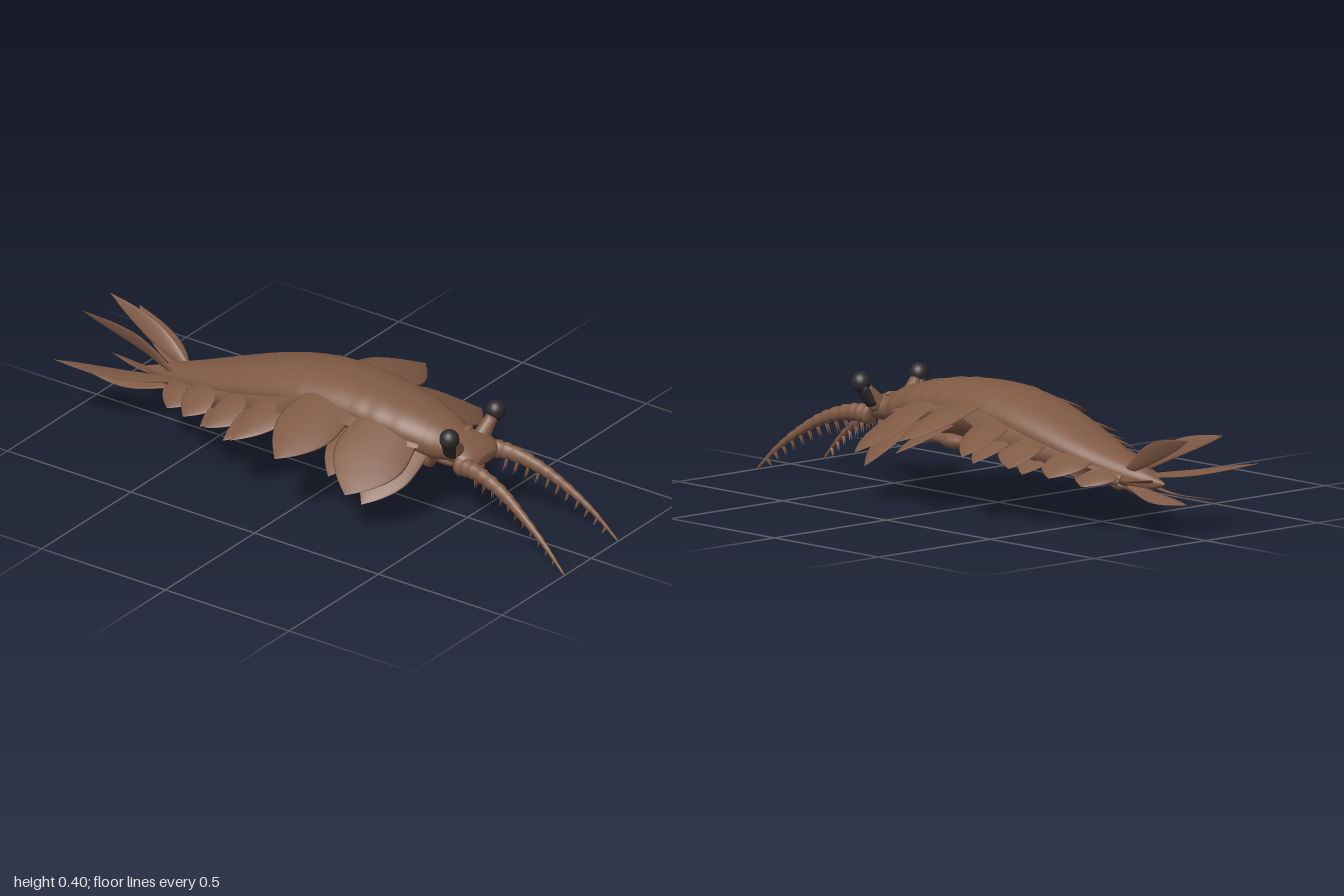
import * as THREE from 'three';

const shell = new THREE.MeshStandardMaterial({ color: 0x805a45 });
shell.name = 'brown shell';
const dark = new THREE.MeshStandardMaterial({ color: 0x2d292a });
dark.name = 'dark eye';

const V = (x, y, z) => new THREE.Vector3(x, y, z);

// Skin a list of closed rings, cap both ends and turn the faces outward
function loft(rings) {
  const n = rings[0].length, pos = [], idx = [];
  rings.forEach(r => r.forEach(p => pos.push(p.x, p.y, p.z)));
  for (let i = 0; i < rings.length - 1; i++) {
    for (let j = 0; j < n; j++) {
      const a = i * n + j, b = i * n + (j + 1) % n;
      idx.push(a, b, a + n, b, b + n, a + n);
    }
  }
  [0, rings.length - 1].forEach(k => {
    const c = V(0, 0, 0);
    rings[k].forEach(p => c.addScaledVector(p, 1 / n));
    const ci = pos.length / 3;
    pos.push(c.x, c.y, c.z);
    for (let j = 0; j < n; j++) {
      const a = k * n + j, b = k * n + (j + 1) % n;
      if (k === 0) idx.push(b, a, ci); else idx.push(a, b, ci);
    }
  });
  const at = i => V(pos[i * 3], pos[i * 3 + 1], pos[i * 3 + 2]);
  let volume = 0;
  for (let i = 0; i < idx.length; i += 3) volume += at(idx[i]).dot(at(idx[i + 1]).cross(at(idx[i + 2])));
  if (volume < 0) idx.reverse();
  const g = new THREE.BufferGeometry();
  g.setAttribute('position', new THREE.Float32BufferAttribute(pos, 3));
  g.setIndex(idx);
  g.computeVertexNormals();
  return g;
}

// Sweep an ellipse along a curve; size(t) gives [half width, half thickness], droop lowers the edges
function sweep(curve, steps, size, widthDir, droop = 0, sides = 14) {
  const rings = [];
  for (let i = 0; i <= steps; i++) {
    const t = i / steps, c = curve.getPoint(t), tan = curve.getTangent(t);
    const w = widthDir.clone().addScaledVector(tan, -widthDir.dot(tan)).normalize();
    const nrm = tan.clone().cross(w);
    const [a, b] = size(t, i);
    rings.push(Array.from({ length: sides }, (_, j) => {
      const q = j / sides * Math.PI * 2, u = Math.cos(q);
      const p = c.clone().addScaledVector(w, a * u).addScaledVector(nrm, b * Math.sin(q));
      p.y -= droop * a * u * u;
      return p;
    }));
  }
  return loft(rings);
}

// Leaf outline: broad from the root, tapering to a point
const leaf = (w, th, root = 0.85, peak = 0.45) => t => {
  const k = t < peak ? root + (1 - root) * Math.sin(t / peak * Math.PI / 2)
    : 1 - Math.pow((t - peak) / (1 - peak), 1.8);
  return [Math.max(w * k, 0.0008), Math.max(th * (1 - t * 0.8) * Math.min(1, k * 2), 0.0005)];
};

function bodyGeometry() {
  // z, half width, top
  const upper = new THREE.CatmullRomCurve3([
    V(0.583, 0.05, 0.262), V(0.56, 0.085, 0.284), V(0.52, 0.097, 0.302), V(0.46, 0.08, 0.318), V(0.41, 0.1, 0.34),
    V(0.3, 0.126, 0.372), V(0.15, 0.14, 0.396), V(0, 0.148, 0.404), V(-0.15, 0.148, 0.388), V(-0.3, 0.138, 0.349),
    V(-0.45, 0.114, 0.295), V(-0.58, 0.08, 0.247), V(-0.68, 0.05, 0.214), V(-0.74, 0.026, 0.19), V(-0.8, 0.004, 0.168),
  ], false, 'catmullrom');
  // side height, bottom
  const lower = new THREE.CatmullRomCurve3([
    [0.247, 0.232], [0.256, 0.22], [0.262, 0.212], [0.265, 0.21], [0.275, 0.205],
    [0.3, 0.205], [0.32, 0.205], [0.325, 0.205], [0.31, 0.2], [0.275, 0.187],
    [0.235, 0.17], [0.2, 0.147], [0.175, 0.13], [0.165, 0.136], [0.163, 0.158],
  ].map(([s, b]) => V(s, b, 0)), false, 'catmullrom');
  const plateEdges = [0.4, 0.29, 0.21, 0.13, -0.1];
  const rings = [];
  for (let i = 0; i <= 120; i++) {
    const u = upper.getPoint(i / 120), l = lower.getPoint(i / 120);
    const z = u.x;
    // each dorsal plate flares towards its rear edge
    let flare = 0;
    plateEdges.forEach(e => { if (z >= e) flare += 0.004 * Math.exp(-(z - e) / 0.025); });
    rings.push(Array.from({ length: 36 }, (_, j) => {
      const q = j / 36 * Math.PI * 2, c = Math.cos(q), s = Math.sin(q);
      const x = (u.y + flare) * Math.sign(c) * Math.pow(Math.abs(c), 0.9);
      const y = s >= 0 ? l.x + (u.z + flare - l.x) * Math.pow(s, 1.1) : l.x - (l.x - l.y) * Math.pow(-s, 0.9);
      return V(x, y, z);
    }));
  }
  return loft(rings);
}

export function createModel() {
  const group = new THREE.Group();
  const add = (name, geo, mat = shell) => {
    const m = new THREE.Mesh(geo, mat);
    m.name = name;
    group.add(m);
    return m;
  };
  const ball = (name, x, y, z, sx, sy, sz, mat) => {
    const m = add(name, new THREE.SphereGeometry(1, 24, 16), mat);
    m.position.set(x, y, z);
    m.scale.set(sx, sy, sz);
    return m;
  };

  add('body', bodyGeometry());
  ball('mouth', 0, 0.2, 0.52, 0.042, 0.026, 0.04);
  ball('throat', 0, 0.215, 0.44, 0.06, 0.03, 0.09);

  // root, tip, half width, thickness, edge droop, forward tilt
  const flaps = [
    [[0.07, 0.27, 0.33], [0.318, 0.122, 0.3], 0.085, 0.008, 0.1, 0.32],
    [[0.08, 0.33, 0.255], [0.382, 0.177, 0.28], 0.125, 0.009, 0.15, 0.3],
    [[0.08, 0.265, 0.13], [0.31, 0.18, 0.16], 0.065, 0.007, 0.1, 0.25],
    [[0.08, 0.36, 0.03], [0.422, 0.25, 0.025], 0.107, 0.01, 0.2, 0.18],
    [[0.08, 0.32, -0.11], [0.352, 0.22, -0.205], 0.075, 0.008, 0.15, 0],
    [[0.08, 0.285, -0.16], [0.34, 0.202, -0.245], 0.065, 0.008, 0.15, 0],
    [[0.08, 0.285, -0.25], [0.285, 0.192, -0.36], 0.08, 0.008, 0.15, -0.08],
    [[0.06, 0.245, -0.32], [0.26, 0.175, -0.395], 0.065, 0.007, 0.15, -0.08],
    [[0.05, 0.25, -0.45], [0.228, 0.17, -0.487], 0.088, 0.008, 0.15, -0.15],
    [[0.03, 0.21, -0.57], [0.175, 0.148, -0.59], 0.085, 0.007, 0.15, -0.15],
  ];

  // Web joining the flap roots: z, outer x, inner y, outer y
  const web = [
    [0.38, 0.12, 0.3, 0.27], [0.26, 0.17, 0.335, 0.285], [0.12, 0.18, 0.355, 0.31], [-0.02, 0.2, 0.365, 0.32],
    [-0.14, 0.21, 0.35, 0.28], [-0.28, 0.205, 0.31, 0.235], [-0.43, 0.18, 0.26, 0.195],
    [-0.56, 0.14, 0.215, 0.165], [-0.66, 0.08, 0.185, 0.15],
  ];

  // middle point and tip of each tail fin, half width, thickness, width direction
  const tailFins = [
    ['upperTailFin', [0.035, 0.195, -0.66], [0.045, 0.275, -0.8], [0.078, 0.342, -1], 0.032, 0.007, V(0.35, 1, 0)],
    ['outerTailFin', [0.03, 0.17, -0.66], [0.135, 0.188, -0.81], [0.24, 0.23, -1], 0.046, 0.006, V(1, 0.1, 0.6)],
    ['lowerTailFin', [0.03, 0.15, -0.66], [0.05, 0.123, -0.82], [0.075, 0.126, -0.99], 0.032, 0.006, V(1, -0.3, 0)],
  ];

  for (const s of [1, -1]) {
    const P = ([x, y, z]) => V(x * s, y, z);

    flaps.forEach(([a, b, w, th, droop, tilt], i) => {
      const mid = a.map((v, k) => (v + b[k]) / 2);
      mid[1] += 0.008;
      const curve = new THREE.CatmullRomCurve3([P(a), P(mid), P(b)]);
      add('swimFlap' + (i + 1), sweep(curve, 20, leaf(w, th), V(0, -tilt, 1), droop, 20));
    });

    add('flapWeb', loft(web.map(([z, x, yi, yo]) => [
      P([0.06, yi, z]), P([(0.06 + x) / 2, (yi + yo) / 2 + 0.008, z]), P([x, yo, z]),
      P([(0.06 + x) / 2, (yi + yo) / 2 - 0.004, z]),
    ])));

    tailFins.forEach(([name, a, m, b, w, th, dir]) => {
      const curve = new THREE.CatmullRomCurve3([P(a), P(m), P(b)]);
      add(name, sweep(curve, 18, leaf(w, th, 0.35, 0.5), V(dir.x * s, dir.y, dir.z)));
    });

    // Eye on a short tapering stalk with a dark outer sleeve
    ball('eye', 0.13 * s, 0.35, 0.52, 0.033, 0.035, 0.033, dark);
    const stalk = new THREE.LineCurve3(P([0.065, 0.268, 0.505]), P([0.113, 0.333, 0.518]));
    add('eyeStalk', sweep(stalk, 6, t => [0.03 - 0.01 * t, 0.034 - 0.016 * t], V(0, 0, 1)));
    const sleeve = new THREE.LineCurve3(P([0.1, 0.272, 0.5]), P([0.132, 0.338, 0.516]));
    add('eyeSleeve', sweep(sleeve, 6, t => [0.024 + 0.003 * t, 0.011 + 0.009 * t], V(0, 0, 1)), dark);
    ball('browRidge', 0.04 * s, 0.308, 0.475, 0.02, 0.008, 0.012);

    // Segmented grasping arm, each segment flaring at its far end
    const arm = new THREE.CatmullRomCurve3([
      [0.08, 0.235, 0.52], [0.092, 0.237, 0.6], [0.108, 0.208, 0.71], [0.126, 0.155, 0.81],
      [0.14, 0.085, 0.91], [0.15, 0.004, 0.998],
    ].map(P));
    const radius = t => 0.031 * (1 - t) + 0.0035;
    add('graspingArm', sweep(arm, 42, (t, i) => {
      const r = radius(t) * [0.88, 1, 1.06][i % 3];
      return [r * 0.85, r];
    }, V(1, 0, 0)));
    for (let i = 0; i < 11; i++) {
      const t = 0.2 + i * 0.07, c = arm.getPoint(t), r = radius(t);
      const len = 0.055 * (1 - t * 0.6);
      for (const inward of [0.4, 0.1]) {
        const tip = c.clone().add(V(-s * inward * len, -r - len * 0.85, -0.012));
        const root = c.clone().add(V(-s * inward * r * 0.5, -r * 0.5, 0));
        add('armSpine', sweep(new THREE.LineCurve3(root, tip), 2,
          k => [0.0065 * (1 - k) + 0.0004, 0.0055 * (1 - k) + 0.0004], V(0, 0, 1), 0, 6));
      }
    }

    // Wavy ridge along the underside
    const ridge = new THREE.CatmullRomCurve3([
      [0.06, 0.215, 0.4], [0.075, 0.2, 0.2], [0.075, 0.198, 0], [0.07, 0.192, -0.2],
      [0.055, 0.172, -0.4], [0.035, 0.148, -0.58], [0.02, 0.137, -0.68],
    ].map(P));
    add('bellyRidge', sweep(ridge, 64, t => {
      const r = (0.024 - 0.01 * t) * (1 + 0.25 * Math.cos(t * Math.PI * 18));
      return [r * 1.2, r];
    }, V(1, 0, 0)));
  }
  return group;
}
